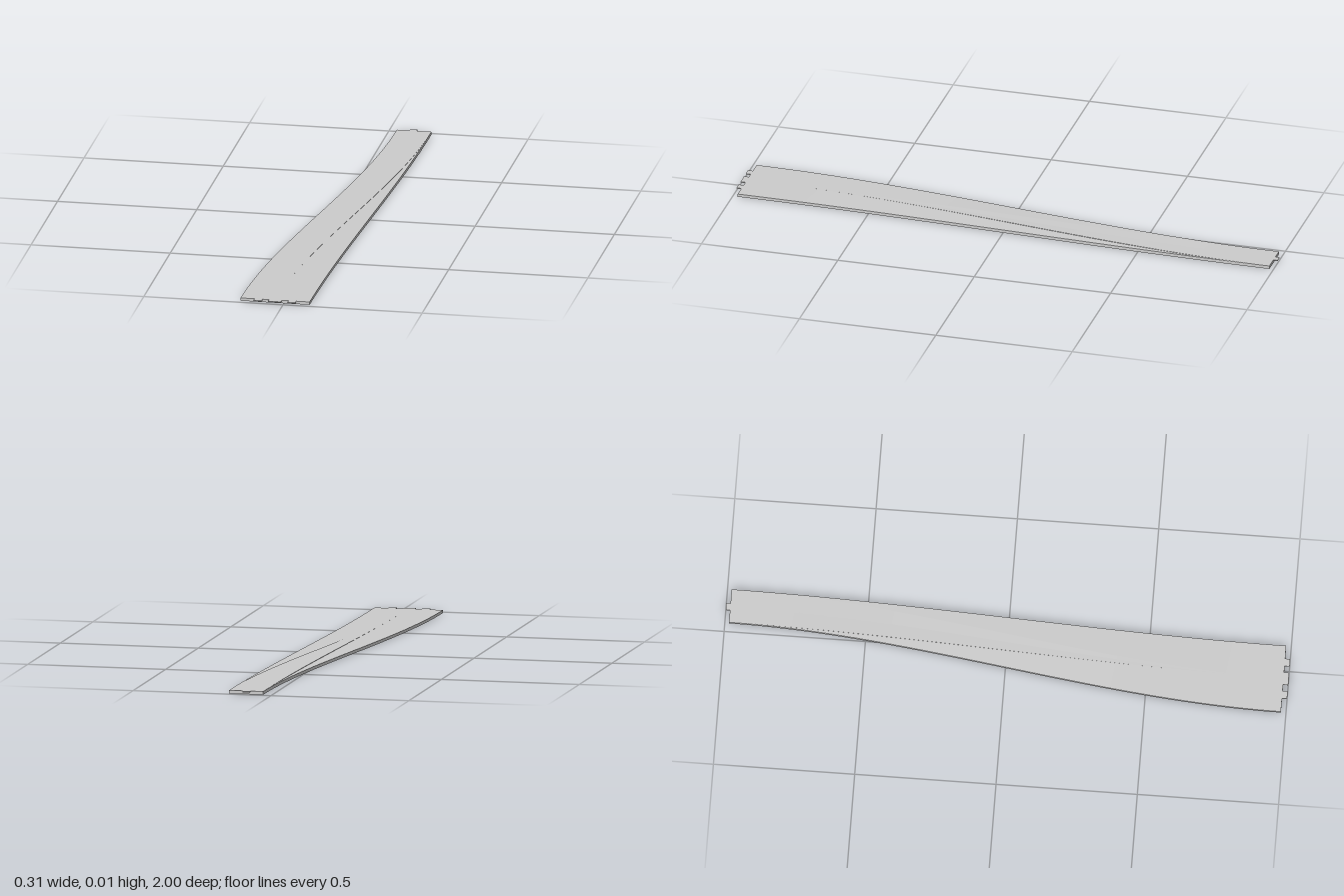
import * as THREE from 'three';

const Z_FRONT = 0.982, Z_BACK = -0.985, LANE = 0.124, STEPS = 48;
const material = new THREE.MeshStandardMaterial({ color: 0xcccccc, side: THREE.DoubleSide });

// Ruled strip between two rails, each a function of f (0 = front, 1 = back)
function strip(name, railA, railB, steps) {
  const positions = [], index = [];
  for (let i = 0; i <= steps; i++) {
    positions.push(...railA(i / steps), ...railB(i / steps));
    if (i < steps) {
      const a = i * 2;
      index.push(a, a + 1, a + 2, a + 1, a + 3, a + 2);
    }
  }
  const geometry = new THREE.BufferGeometry();
  geometry.setAttribute('position', new THREE.Float32BufferAttribute(positions, 3));
  geometry.setIndex(index);
  geometry.computeVertexNormals();
  const mesh = new THREE.Mesh(geometry, material);
  mesh.name = name;
  return mesh;
}

// One hollow lane sweeping in an S from xFront to xBack;
// innerSide (+1 or -1) is the edge that rises slightly over the other lane
function lane(name, xFront, xBack, innerSide) {
  const group = new THREE.Group();
  group.name = name;
  const rail = (side, top) => (f) => {
    const x = THREE.MathUtils.lerp(xFront, xBack, f * f * (3 - 2 * f)) + side * LANE / 2;
    const bank = side === innerSide ? 0.0022 * Math.sin(Math.PI * f) : 0;
    const y = top ? 0.0105 + 0.001 * f + bank : 0;
    return [x, y, THREE.MathUtils.lerp(Z_FRONT, Z_BACK, f)];
  };
  const lt = rail(-1, true), rt = rail(1, true), lb = rail(-1, false), rb = rail(1, false);
  group.add(
    strip('deck', lt, rt, STEPS),
    strip('sideWallRight', lb, lt, STEPS),
    strip('sideWallLeft', rt, rb, STEPS)
  );
  // End walls close the two short sides
  const across = (a, b, f) => (u) => a(f).map((v, k) => THREE.MathUtils.lerp(v, b(f)[k], u));
  group.add(
    strip('frontWall', across(lt, rt, 0), across(lb, rb, 0), 1),
    strip('backWall', across(rt, lt, 1), across(rb, lb, 1), 1)
  );
  return group;
}

// Thin connector tab flush with the deck
function tab(name, x0, x1, z0, z1, top) {
  const mesh = new THREE.Mesh(new THREE.BoxGeometry(x1 - x0, 0.003, z1 - z0), material);
  mesh.position.set((x0 + x1) / 2, top - 0.0015, (z0 + z1) / 2);
  mesh.name = name;
  return mesh;
}

export function createModel() {
  const model = new THREE.Group();
  model.name = 'mergingTrack';

  // Two lanes that share the back end and spread apart at the front
  model.add(lane('curvedLane', -0.0935, 0.0935, 1));
  model.add(lane('straightLane', 0.0305, 0.0935, -1));

  // Connector tabs: three at the front, one at the back
  for (const [x0, x1] of [[-0.106, -0.077], [-0.054, -0.008], [0.016, 0.044]])
    model.add(tab('frontTab', x0, x1, Z_FRONT, 1, 0.0105));
  model.add(tab('backTab', 0.077, 0.103, -1, Z_BACK, 0.0115));

  return model;
}
